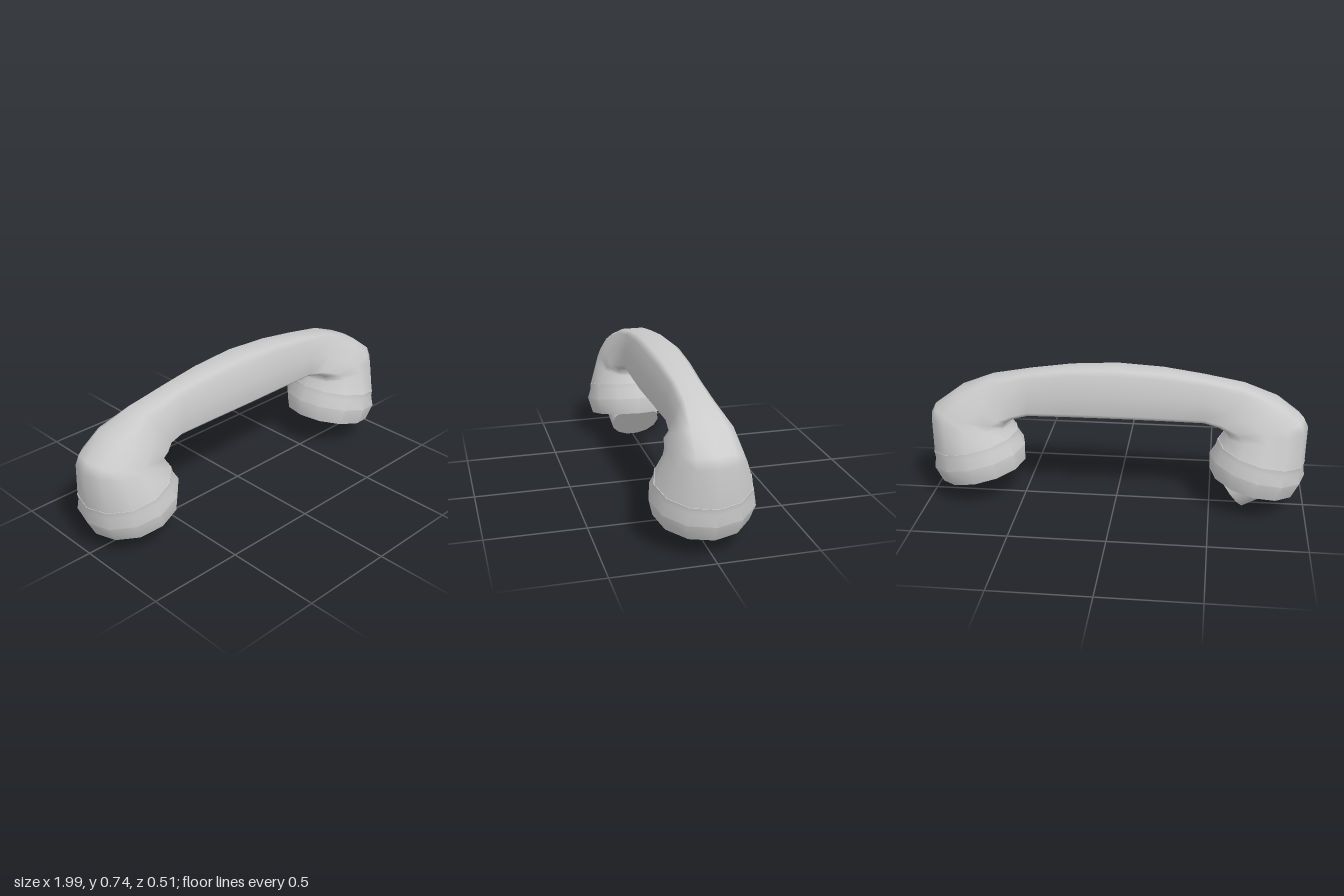
import * as THREE from 'three';
import { toCreasedNormals } from 'three/addons/utils/BufferGeometryUtils.js';

const SIDES = 12;
const TILT = 0.219; // lean of the two end cups

// Half cross-section (u towards the outer side, v sideways) of the grip
const GRIP_U = [1, 1, 0.82, 0, -0.8, -1, -1];
const GRIP_V = [0, 0.56, 0.8, 0.93, 1, 0.78, 0];

// Sections from the +x cup to the middle:
// inner x, inner y, outer x, outer y, half width, squareness
const SECTIONS = [
  [0.533, 0.367, 0.991, 0.265, 0.235, 0],
  [0.565, 0.41, 0.995, 0.46, 0.19, 0.1],
  [0.567, 0.435, 0.97, 0.51, 0.172, 0.3],
  [0.562, 0.455, 0.84, 0.6, 0.155, 0.65],
  [0.535, 0.47, 0.66, 0.67, 0.108, 1],
  [0.46, 0.487, 0.45, 0.71, 0.098, 1],
  [0.24, 0.493, 0.24, 0.738, 0.108, 1],
  [0, 0.497, 0, 0.75, 0.117, 1],
];

function sectionPoints([ix, iy, ox, oy, w, square]) {
  const points = [];
  for (let k = 0; k < SIDES; k++) {
    const a = (k / SIDES) * Math.PI * 2;
    const j = k <= 6 ? k : SIDES - k;
    const sign = k <= 6 ? 1 : -1;
    const u = THREE.MathUtils.lerp(Math.cos(a), GRIP_U[j], square);
    const v = THREE.MathUtils.lerp(Math.sin(a), sign * GRIP_V[j], square);
    points.push(
      (ix + ox) / 2 + (u * (ox - ix)) / 2,
      (iy + oy) / 2 + (u * (oy - iy)) / 2,
      v * w,
    );
  }
  return points;
}

// Skin through all sections, running from -x to +x
function loft(sections) {
  const index = [];
  for (let i = 0; i < sections.length - 1; i++) {
    for (let k = 0; k < SIDES; k++) {
      const a = i * SIDES + k;
      const b = i * SIDES + ((k + 1) % SIDES);
      index.push(a, b, a + SIDES, b, b + SIDES, a + SIDES);
    }
  }
  const geometry = new THREE.BufferGeometry();
  geometry.setAttribute('position', new THREE.Float32BufferAttribute(sections.flatMap(sectionPoints), 3));
  geometry.setIndex(index);
  geometry.computeVertexNormals();
  return geometry;
}

export function createModel() {
  const model = new THREE.Group();
  model.name = 'telephoneHandset';
  const material = new THREE.MeshStandardMaterial({ color: 0xcccccc });
  const add = (name, geometry) => {
    const mesh = new THREE.Mesh(geometry, material);
    mesh.name = name;
    model.add(mesh);
    return mesh;
  };

  // Arched grip flowing into both cups
  const mirrored = SECTIONS.map(([ix, iy, ox, oy, w, s]) => [-ix, iy, -ox, oy, w, s]);
  add('handle', loft([...mirrored, ...SECTIONS.slice(0, -1).reverse()]));

  // Bulging caps closing the two ends
  const profile = [
    [0, 0], [0.233, 0], [0.256, 0.09], [0.237, 0.145], [0.236, 0.175], [0, 0.19],
  ].map(([x, y]) => new THREE.Vector2(x, y));
  const capGeometry = toCreasedNormals(new THREE.LatheGeometry(profile, SIDES), 0.75);
  for (const side of [1, -1]) {
    const cap = add(side > 0 ? 'earpieceCap' : 'mouthpieceCap', capGeometry);
    cap.position.set(side * 0.725, 0.15, 0);
    cap.rotation.z = -side * TILT;
  }

  // Slanted mouthpiece horn, its flat face turned inwards and down
  const length = 0.26;
  const hornGeometry = new THREE.CylinderGeometry(0.138, 0.17, length, 14);
  hornGeometry.translate(0, -length / 2, 0);
  const horn = add('mouthpieceHorn', toCreasedNormals(hornGeometry, 0.75));
  horn.position.set(-0.61, 0.115, 0);
  // a horn corner points straight down in the plane of the face
  hornGeometry.rotateY(Math.PI / 2);
  horn.quaternion.setFromUnitVectors(new THREE.Vector3(0, 1, 0), new THREE.Vector3(0.81, -0.586, 0).normalize());

  return model;
}
